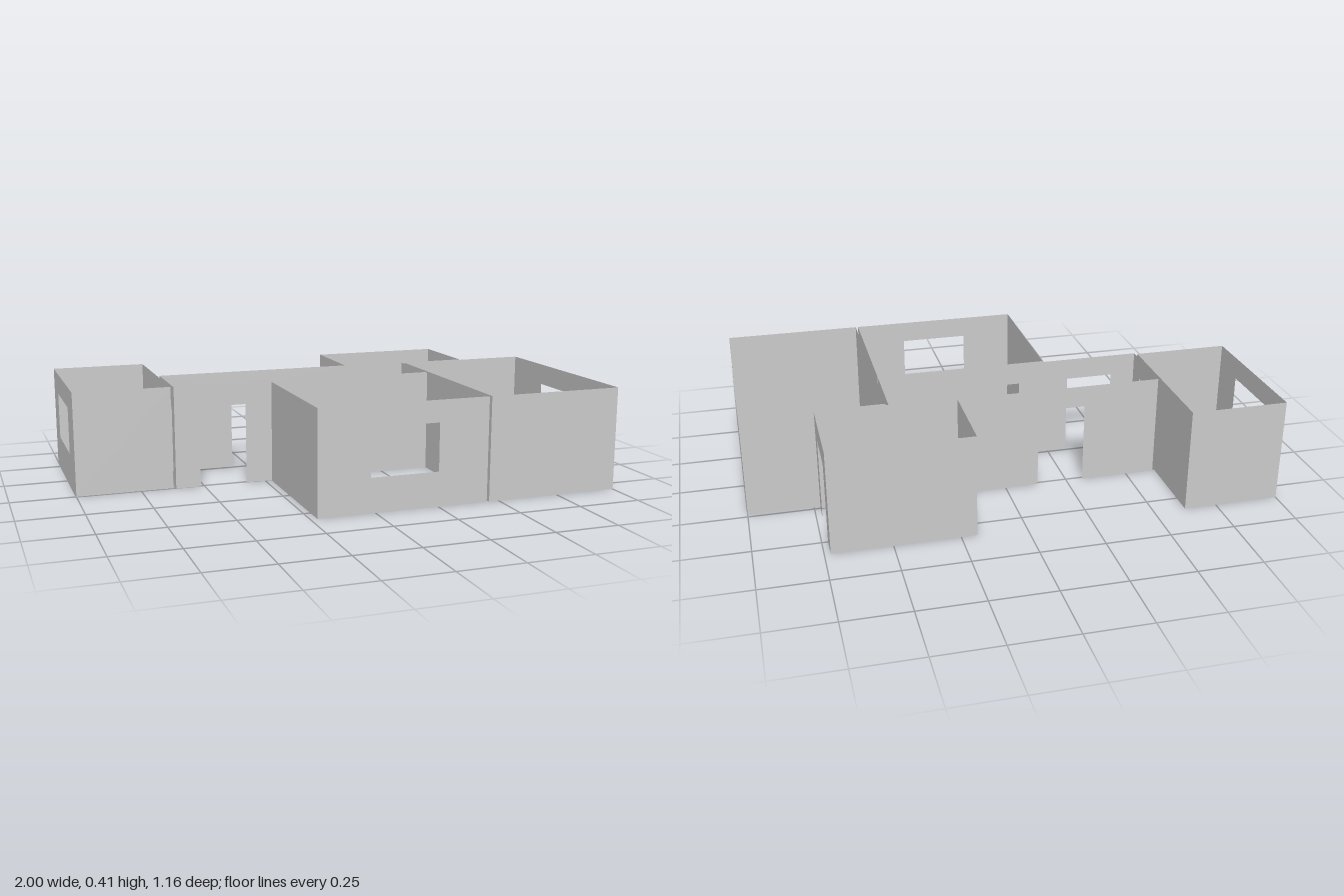
import * as THREE from 'three';

const HEIGHT = 0.405, HEAD = 0.32, SILL = 0.135;
const material = new THREE.MeshStandardMaterial({ color: 0xcccccc, side: THREE.DoubleSide, flatShading: true });

// Openings are given along the wall's own axis (x or z)
const door = (from, to) => ({ from, to, isDoor: true });
const windowGap = (from, to) => ({ from, to, isDoor: false });

// Thin upright wall between two plan points, with doors as notches and windows as holes
function wall([x1, z1], [x2, z2], openings = []) {
  const alongX = Math.abs(x2 - x1) > Math.abs(z2 - z1);
  const [start, end] = alongX ? [x1, x2] : [z1, z2];
  const lo = Math.min(start, end), hi = Math.max(start, end);
  const outline = [[lo, 0]];
  for (const o of openings.filter((p) => p.isDoor)) {
    outline.push([o.from, 0], [o.from, HEAD], [o.to, HEAD], [o.to, 0]);
  }
  outline.push([hi, 0], [hi, HEIGHT], [lo, HEIGHT]);
  const shape = new THREE.Shape(outline.map((p) => new THREE.Vector2(...p)));
  for (const o of openings.filter((p) => !p.isDoor)) {
    shape.holes.push(new THREE.Path([
      [o.from, SILL], [o.from, HEAD], [o.to, HEAD], [o.to, SILL],
    ].map((p) => new THREE.Vector2(...p))));
  }
  const geometry = new THREE.ShapeGeometry(shape);
  if (alongX) geometry.translate(0, 0, z1);
  else geometry.rotateY(-Math.PI / 2).translate(x1, 0, 0);
  return new THREE.Mesh(geometry, material);
}

// Closed ring of walls; openings are keyed by the index of the starting corner
function room(name, corners, openings) {
  const group = new THREE.Group();
  group.name = name;
  corners.forEach((corner, i) => {
    const mesh = wall(corner, corners[(i + 1) % corners.length], openings[i]);
    mesh.name = `${name}Wall${i + 1}`;
    group.add(mesh);
  });
  return group;
}

const rectangle = (x1, x2, z1, z2) => [[x1, z1], [x2, z1], [x2, z2], [x1, z2]];

export function createModel() {
  const model = new THREE.Group();
  model.name = 'floorPlanWalls';

  // Small room at the -x end: door to the hall, window outwards
  model.add(room('endRoom', rectangle(-1, -0.624, -0.583, 0), {
    1: [door(-0.22, -0.035)],
    3: [windowGap(-0.46, -0.15)],
  }));

  // Hall with an alcove at the back
  model.add(room('hall', [
    [-0.614, -0.262], [0.19, -0.262], [0.19, -0.583], [0.727, -0.583],
    [0.727, -0.25], [0.45, -0.25], [0.45, 0.01], [-0.614, 0.01],
  ], {
    0: [door(-0.315, -0.13)],
    3: [door(-0.5, -0.313)],
    5: [door(-0.22, -0.035)],
    6: [door(-0.515, -0.328), door(-0.127, 0.06)],
    7: [door(-0.22, -0.035)],
  }));

  // Front room: door to the hall, window to the front
  model.add(room('frontRoom', rectangle(-0.224, 0.45, 0.02, 0.58), {
    0: [door(-0.127, 0.06)],
    2: [windowGap(-0.02, 0.25)],
  }));

  // Large room at the +x end: wide window outwards, door to the hall
  model.add(room('largeRoom', rectangle(0.46, 1, -0.237, 0.58), {
    1: [windowGap(0, 0.425)],
    3: [door(-0.22, -0.035)],
  }));

  return model;
}
